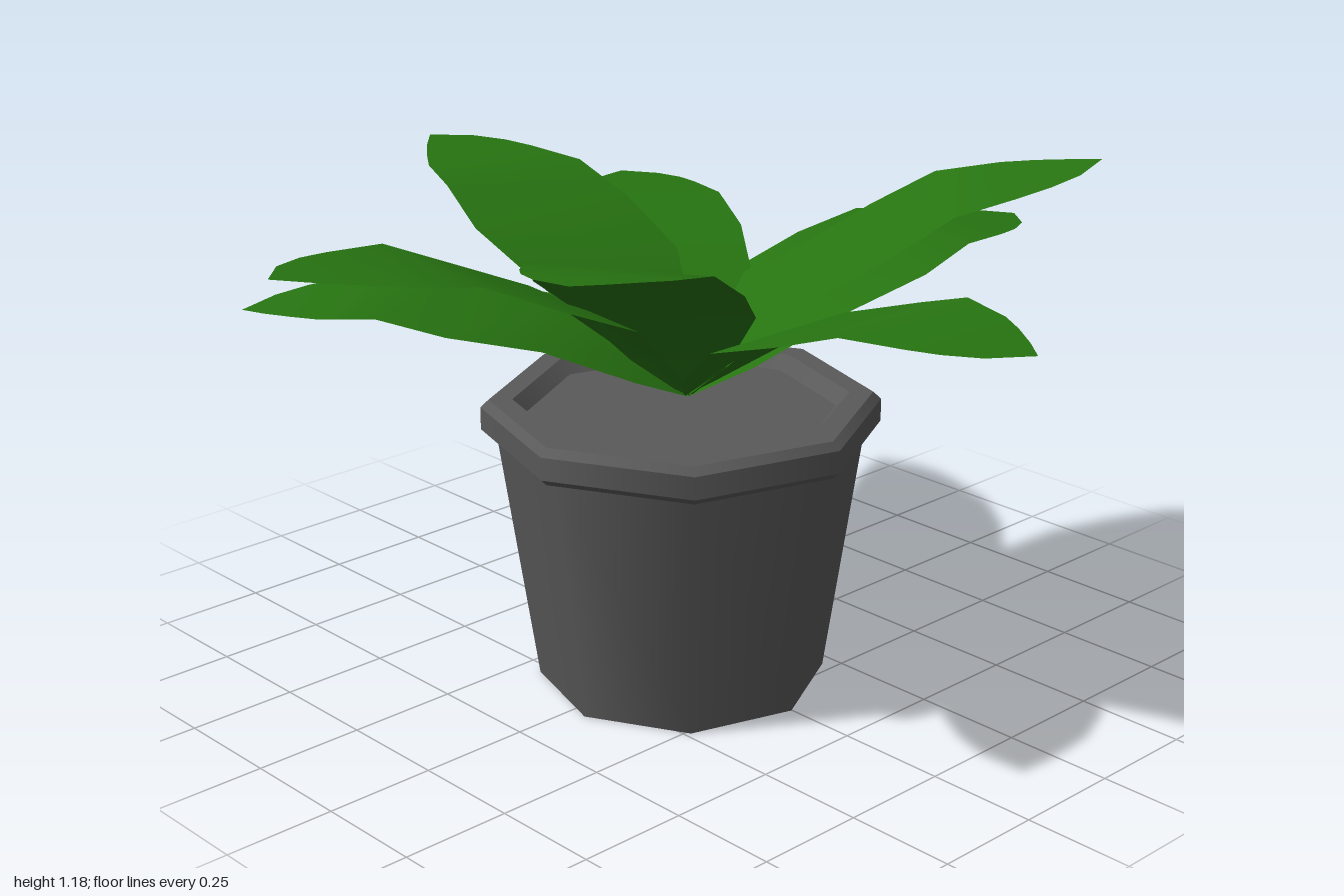
import * as THREE from 'three';

const potGrey = new THREE.MeshStandardMaterial({ color: 0x5a5a5a });
potGrey.name = 'potGrey';
const leafGreen = new THREE.MeshStandardMaterial({ color: 0x277411, side: THREE.DoubleSide });
leafGreen.name = 'leafGreen';

// Eight-sided turned part; inner profile points are doubled to keep their edges sharp
function turned(name, profile) {
  const points = profile.flatMap(([r, y]) => [new THREE.Vector2(r, y), new THREE.Vector2(r, y)]);
  const geometry = new THREE.LatheGeometry(points, 8, THREE.MathUtils.degToRad(5));
  const mesh = new THREE.Mesh(geometry, potGrey);
  mesh.name = name;
  mesh.position.set(0.014, 0, 0.03);
  return mesh;
}

// Leaf cross-sections: distance out, height, width to the left, width to the right
const sections = [
  [0, 0, 0.01, 0.01],
  [0.1, 0.08, 0.105, 0.105],
  [0.28, 0.212, 0.203, 0.2],
  [0.48, 0.278, 0.22, 0.215],
  [0.63, 0.33, 0.19, 0.19],
  [0.77, 0.333, 0.143, 0.155],
  [0.84, 0.334, 0.1, 0.13],
  [0.91, 0.334, 0.05, 0.085],
  [0.97, 0.334, 0, 0],
];

function leafGeometry() {
  const positions = [];
  const indices = [];
  sections.forEach(([x, y, left, right], i) => {
    positions.push(x, y, -left, x, y, right);
    if (i > 0) {
      const a = 2 * (i - 1);
      indices.push(a, a + 1, a + 2);
      if (i < sections.length - 1) indices.push(a + 1, a + 3, a + 2);
    }
  });
  const geometry = new THREE.BufferGeometry();
  geometry.setAttribute('position', new THREE.Float32BufferAttribute(positions, 3));
  geometry.setIndex(indices);
  geometry.computeVertexNormals();
  return geometry;
}

// Where each leaf tip ends up
const tips = [
  [0.97, 0.985, 0.01],
  [0.6, 1.18, -0.65],
  [0.09, 0.89, -1.0],
  [-0.83, 0.9, -0.56],
  [-0.98, 1.05, -0.07],
  [-0.7, 0.835, 0.68],
  [-0.11, 1.105, 1.0],
  [0.5, 1.18, 0.77],
];

export function createModel() {
  const model = new THREE.Group();
  model.name = 'pottedPlant';

  // Pot: tapered body, overhanging bevelled rim and soil surface
  model.add(turned('potBody', [[0, 0], [0.322, 0], [0.407, 0.585]]));
  model.add(turned('potRim', [
    [0.4, 0.577], [0.424, 0.577], [0.44, 0.592], [0.44, 0.643],
    [0.422, 0.66], [0.37, 0.66], [0.34, 0.63],
  ]));
  model.add(turned('soil', [[0.345, 0.63], [0, 0.63]]));

  // Leaves: one blade, aimed and pitched so that it reaches each tip
  const geometry = leafGeometry();
  const [tipOut, tipUp] = sections[sections.length - 1];
  const baseY = 0.651;
  tips.forEach(([x, y, z], i) => {
    const out = Math.hypot(x, z);
    const up = y - baseY;
    const leaf = new THREE.Mesh(geometry, leafGreen);
    leaf.name = `leaf${i + 1}`;
    leaf.position.y = baseY;
    leaf.rotation.y = -Math.atan2(z, x);
    leaf.rotation.z = Math.atan2(up, out) - Math.atan2(tipUp, tipOut);
    const reach = Math.hypot(out, up) / Math.hypot(tipOut, tipUp);
    leaf.scale.set(reach, reach, 1);
    model.add(leaf);
  });

  return model;
}
